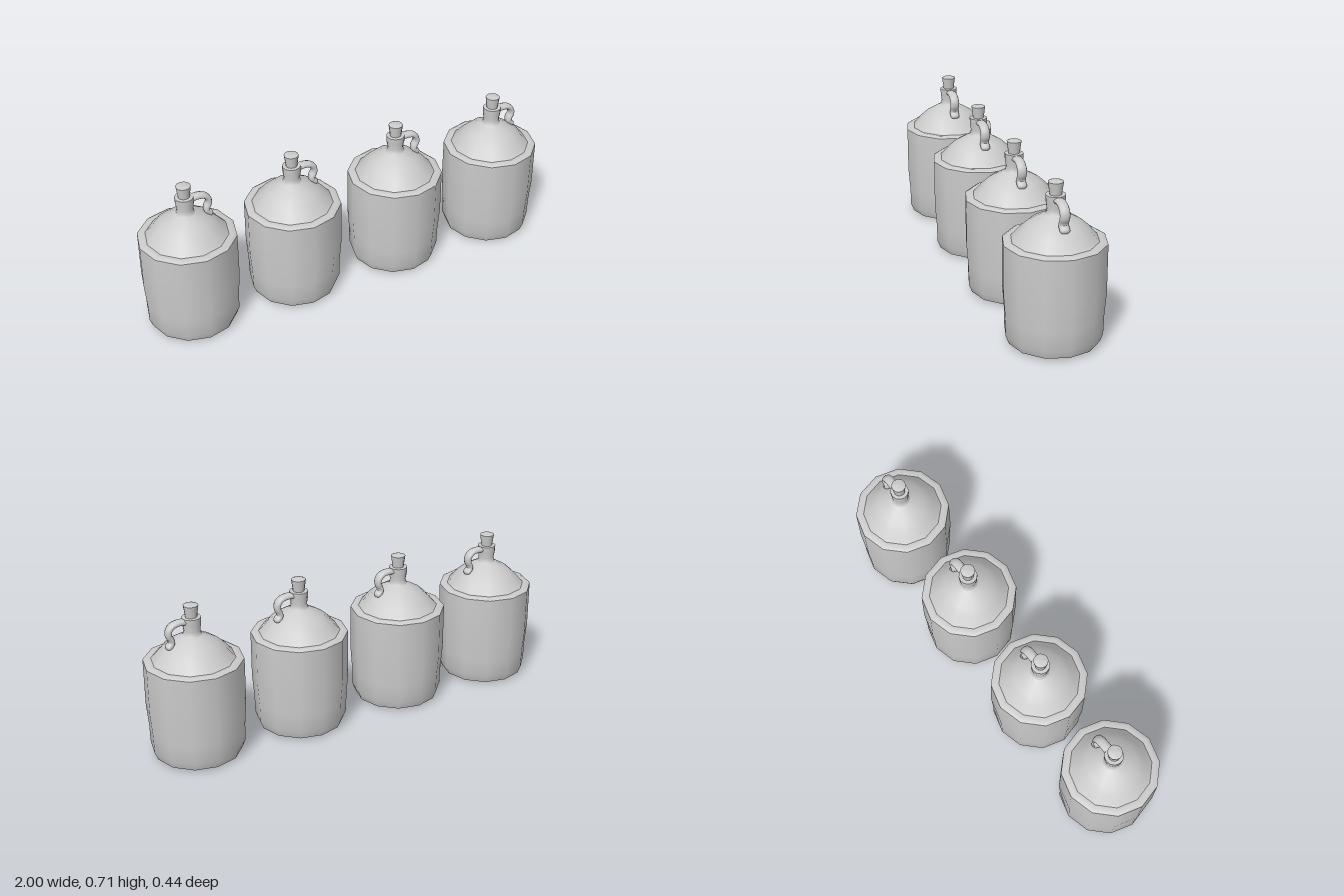
import * as THREE from 'three';
import { toCreasedNormals } from 'three/addons/utils/BufferGeometryUtils.js';

const material = new THREE.MeshStandardMaterial({ color: 0xcccccc });

function part(name, geometry) {
  const mesh = new THREE.Mesh(geometry, material);
  mesh.name = name;
  return mesh;
}

// Revolve [radius, height] pairs listed from bottom to top
function turned(name, profile, sides) {
  const points = profile.map(([r, y]) => new THREE.Vector2(r, y));
  return part(name, toCreasedNormals(new THREE.LatheGeometry(points, sides), 0.95));
}

function createHandle() {
  const handle = new THREE.Group();
  handle.name = 'handle';
  // Loop from the lip outwards, then an S-bend down to the shoulder
  const path = new THREE.CatmullRomCurve3([
    [0.025, 0.632], [0.06, 0.635], [0.09, 0.628], [0.108, 0.608],
    [0.109, 0.585], [0.099, 0.565], [0.098, 0.55], [0.112, 0.534],
  ].map(([x, y]) => new THREE.Vector3(x, y, 0)));
  const strap = part('handleStrap', new THREE.TubeGeometry(path, 28, 0.014, 10));
  const tip = part('handleTip', new THREE.SphereGeometry(0.014, 10, 8));
  tip.position.copy(path.getPoint(1));
  handle.add(strap, tip);
  // Flattened strap, wider than it is thick
  handle.scale.z = 1.6;
  return handle;
}

function createJug() {
  const jug = new THREE.Group();
  jug.add(
    turned('body', [
      [0, 0], [0.13, 0.001], [0.195, 0.009], [0.209, 0.045], [0.211, 0.13],
      [0.219, 0.235], [0.219, 0.45], [0.204, 0.459], [0.178, 0.456],
    ], 12),
    turned('shoulder', [
      [0.184, 0.456], [0.172, 0.468], [0.145, 0.5], [0.112, 0.53], [0.072, 0.553], [0.038, 0.571],
    ], 12),
    turned('neck', [
      [0.045, 0.566], [0.039, 0.573], [0.036, 0.59], [0.041, 0.62], [0.042, 0.649], [0.025, 0.65],
    ], 12),
    turned('stopper', [
      [0.025, 0.645], [0.026, 0.654], [0.033, 0.704], [0.02, 0.709], [0, 0.71],
    ], 12),
    createHandle(),
  );
  return jug;
}

export function createModel() {
  const model = new THREE.Group();
  model.name = 'jugRow';
  // Row of four matching jugs
  [-0.781, -0.271, 0.257, 0.781].forEach((x, i) => {
    const jug = createJug();
    jug.name = `jug${i + 1}`;
    jug.position.x = x;
    model.add(jug);
  });
  return model;
}
